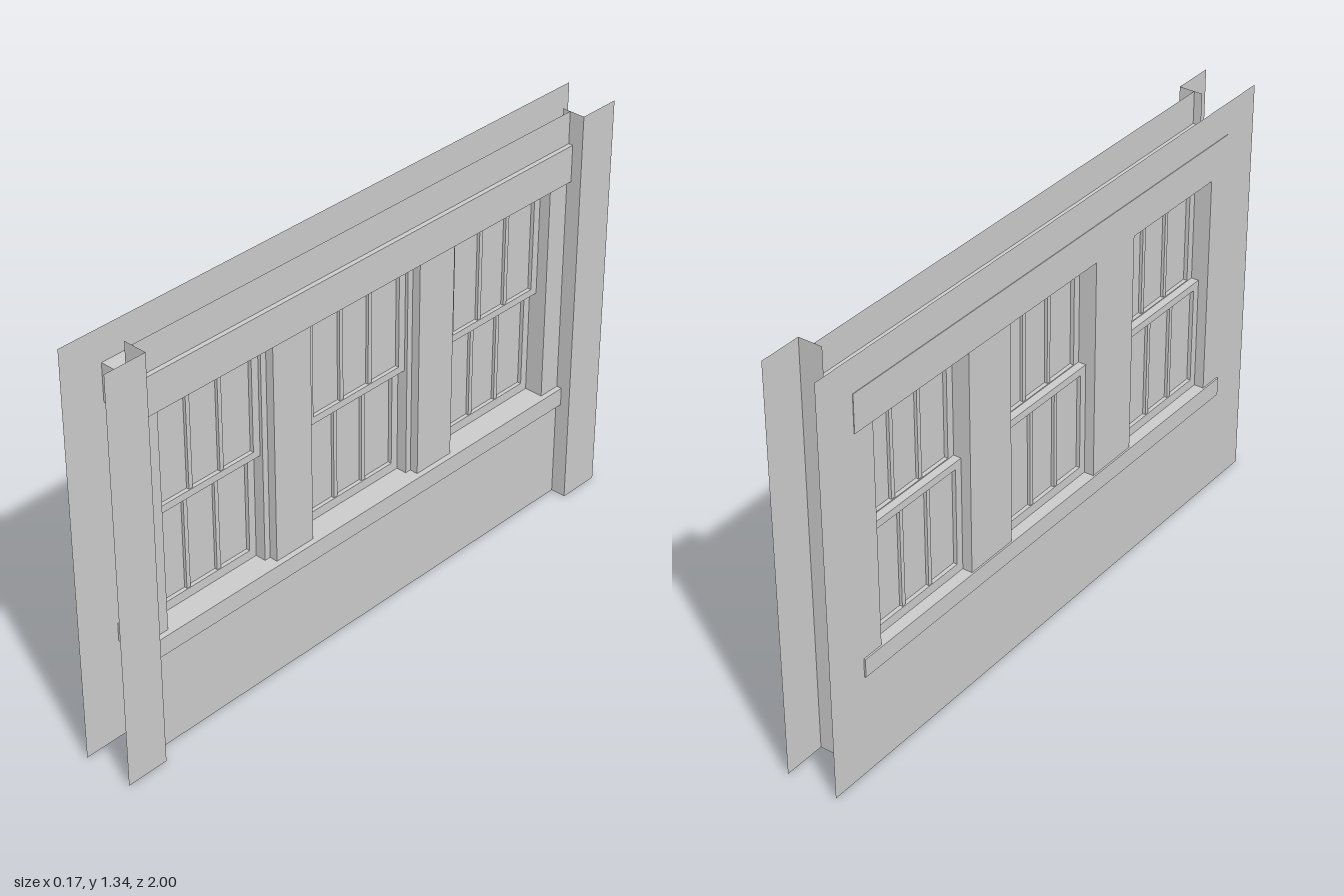
import * as THREE from 'three';

const mat = new THREE.MeshStandardMaterial({ color: 0xcccccc, side: THREE.DoubleSide });
const SILL = 0.39, HEAD = 1.11;          // bottom and top of the window openings
const INNER = -0.082, OUTER = 0.037;     // the two wall skins
const HALF = 0.86;                       // half length between the corner boards

function add(parent, name, geo, x = 0, y = 0, z = 0) {
  const m = new THREE.Mesh(geo, mat);
  m.name = name;
  m.position.set(x, y, z);
  parent.add(m);
  return m;
}

// Box given by its limits
function box(parent, name, x0, x1, y0, y1, z0, z1) {
  return add(parent, name, new THREE.BoxGeometry(x1 - x0, y1 - y0, z1 - z0),
    (x0 + x1) / 2, (y0 + y1) / 2, (z0 + z1) / 2);
}

function rectPoints(z0, z1, y0, y1) {
  return [[z0, y0], [z1, y0], [z1, y1], [z0, y1]].map(p => new THREE.Vector2(...p));
}

// Rectangle in the z-y plane with rectangular holes; depth runs towards -x
function plate(parent, name, x, rect, holes = [], depth = 0) {
  const shape = new THREE.Shape(rectPoints(...rect));
  holes.forEach(h => shape.holes.push(new THREE.Path(rectPoints(...h))));
  const geo = depth
    ? new THREE.ExtrudeGeometry(shape, { depth, bevelEnabled: false })
    : new THREE.ShapeGeometry(shape);
  return add(parent, name, geo.rotateY(-Math.PI / 2), x);
}

// Thin sheet across the wall, facing along z
function crossSheet(parent, name, z, x0, x1, y0, y1) {
  return add(parent, name, new THREE.PlaneGeometry(x1 - x0, y1 - y0),
    (x0 + x1) / 2, (y0 + y1) / 2, z);
}

// Framed sash with glass and two upright glazing bars
function sash(parent, name, x, c, y0, y1, g0, g1) {
  const s = new THREE.Group();
  s.name = name;
  parent.add(s);
  plate(s, 'sashFrame', x, [c - 0.2, c + 0.2, y0, y1], [[c - 0.175, c + 0.175, g0, g1]], 0.025);
  plate(s, 'glass', x - 0.0125, [c - 0.175, c + 0.175, g0, g1]);
  for (const side of [-1, 1]) {
    const z = c + side * 0.058;
    box(s, 'glazingBar', x - 0.022, x - 0.003, g0, g1, z - 0.007, z + 0.007);
  }
}

export function createModel() {
  const model = new THREE.Group();
  model.name = 'windowWall';
  const centres = [0.585, 0, -0.585];

  // Wall skins with window openings
  plate(model, 'innerWall', INNER, [-1, 1, 0, 1.335],
    centres.map(c => [c - 0.2, c + 0.2, SILL, HEAD]));
  plate(model, 'outerWall', OUTER, [-HALF, HALF, 0, 1.335],
    [[0.365, 0.785, SILL, HEAD], [-0.22, 0.22, SILL, HEAD], [-0.785, -0.365, SILL, HEAD]]);

  // Continuous header and sill
  box(model, 'header', -0.084, 0.052, HEAD, 1.23, -HALF, HALF);
  box(model, 'sill', -0.0875, 0.055, 0.33, SILL, -HALF, HALF);

  // Corner boards with their returns
  for (const s of [-1, 1]) {
    plate(model, 'cornerBoard', 0.0875, [Math.min(s, s * HALF), Math.max(s, s * HALF), 0, 1.335]);
    crossSheet(model, 'cornerReturn', s * HALF, 0.01, 0.0875, 0, 1.335);
  }

  // Double-hung windows
  for (const c of centres) {
    const w = new THREE.Group();
    w.name = 'window';
    model.add(w);
    sash(w, 'upperSash', 0, c, 0.742, HEAD, 0.765, 1.085);
    sash(w, 'lowerSash', -0.025, c, SILL, 0.762, 0.42, 0.738);
    for (const s of [-1, 1]) {
      const z = c + s * 0.2;
      const atEnd = Math.abs(z) > 0.7;
      crossSheet(w, 'jamb', z, INNER, atEnd ? OUTER : 0.01, SILL, HEAD);
      if (atEnd) continue;
      // Stepped reveal beside the mullions
      const z2 = c + s * 0.22;
      plate(w, 'stop', 0.01, [Math.min(z, z2), Math.max(z, z2), SILL, HEAD]);
      crossSheet(w, 'reveal', z2, 0.01, OUTER, SILL, HEAD);
    }
  }
  return model;
}
